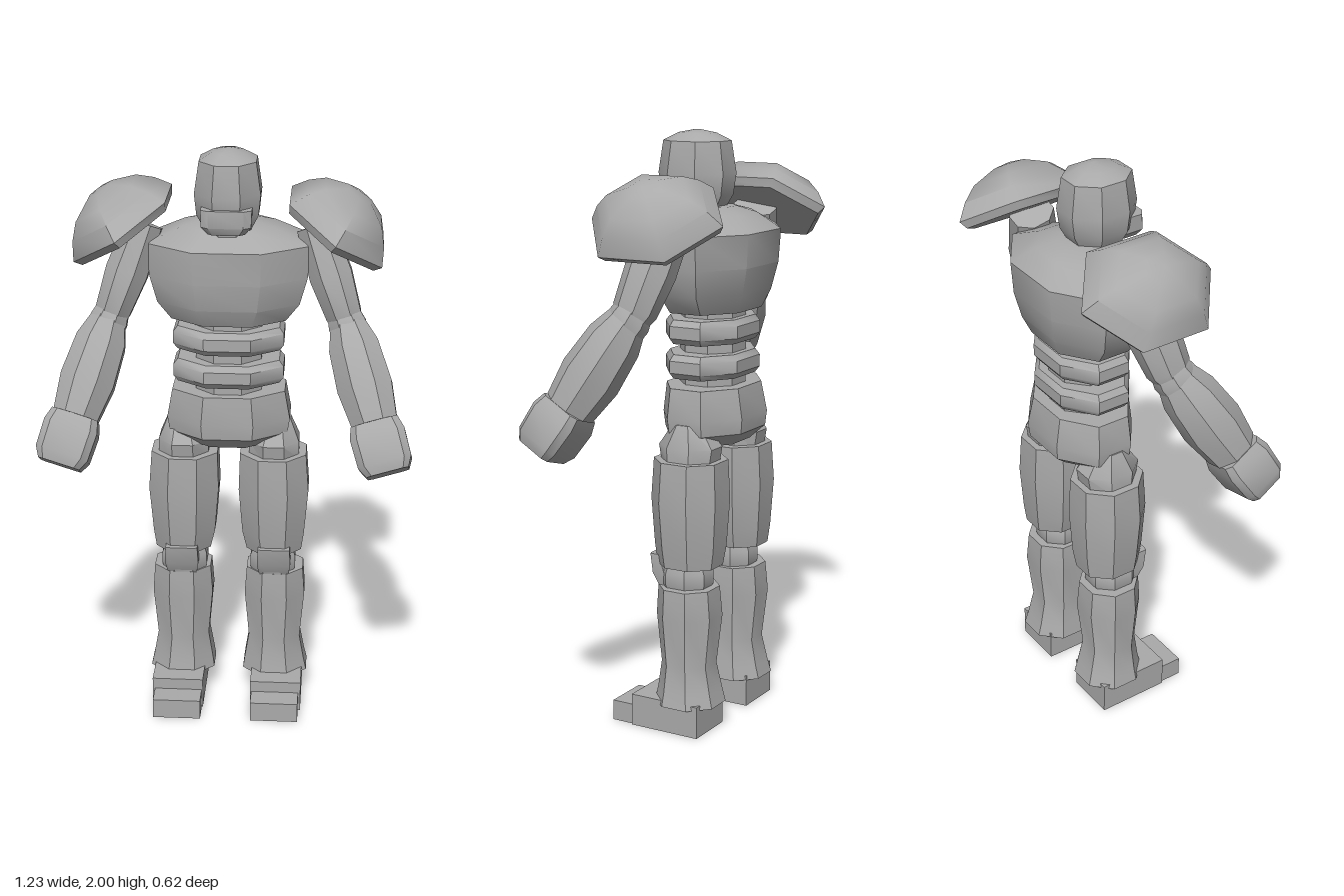
import * as THREE from 'three';
import { toCreasedNormals } from 'three/addons/utils/BufferGeometryUtils.js';

const HEX = [[1, .5], [0, 1], [-1, .5], [-1, -.5], [0, -1], [1, -.5]];
const oct = k => [[1, k], [k, 1], [-k, 1], [-1, k], [-1, -k], [-k, -1], [k, -1], [1, -k]];

// Closed solid from cross-sections [y, halfX, halfZ, centreZ, centreX], bottom to top
function loft(rings, outline = oct(0.42), crease = 0.6) {
  const n = outline.length, pos = [];
  const pt = (i, j) => {
    const [y, hx, hz, cz = 0, cx = 0] = rings[i];
    const [u, v] = outline[j % n];
    return [cx + u * hx, y, cz + v * hz];
  };
  const mid = i => [rings[i][4] || 0, rings[i][0], rings[i][3] || 0];
  const last = rings.length - 1;
  for (let j = 0; j < n; j++) {
    for (let i = 0; i < last; i++) {
      const a = pt(i, j), b = pt(i, j + 1), c = pt(i + 1, j + 1), d = pt(i + 1, j);
      pos.push(...a, ...d, ...c, ...a, ...c, ...b);
    }
    pos.push(...mid(0), ...pt(0, j), ...pt(0, j + 1));
    pos.push(...mid(last), ...pt(last, j + 1), ...pt(last, j));
  }
  const g = new THREE.BufferGeometry();
  g.setAttribute('position', new THREE.Float32BufferAttribute(pos, 3));
  return toCreasedNormals(g, crease);
}

export function createModel() {
  const model = new THREE.Group();
  model.name = 'armouredFigure';
  const grey = new THREE.MeshStandardMaterial({ color: 0xaaaaaa });
  grey.name = 'plain grey';

  const add = (name, geometry, parent = model) => {
    const mesh = new THREE.Mesh(geometry, grey);
    mesh.name = name;
    parent.add(mesh);
    return mesh;
  };
  // Stands a loft at one point and leans it toward another
  const limb = (name, from, to, rings, outline, parent) => {
    const start = new THREE.Vector3(...from);
    const dir = new THREE.Vector3(...to).sub(start);
    const len = dir.length();
    const mesh = add(name, loft(rings.map(([t, ...r]) => [t * len, ...r]), outline), parent);
    mesh.position.copy(start);
    mesh.quaternion.setFromUnitVectors(new THREE.Vector3(0, 1, 0), dir.normalize());
  };

  // Head, jaw and neck
  add('head', loft([
    [1.74, .075, .085, -.02], [1.79, .1, .112, -.02], [1.86, .107, .122, -.02],
    [1.965, .092, .107, -.02], [1.99, .05, .06, -.02], [2, .01, .01, -.02],
  ]));
  add('jawGuard', loft([
    [1.745, .06, .05, .055], [1.77, .08, .06, .057], [1.825, .082, .055, .057],
  ], oct(0.7)));
  add('neck', loft([[1.68, .07, .08, -.04], [1.78, .07, .08, -.03]]));

  // Torso, waist and pelvis
  add('chest', loft([
    [1.42, .19, .135, -.085], [1.48, .235, .16, -.085], [1.57, .26, .176, -.09],
    [1.68, .268, .181, -.092], [1.735, .15, .12, -.09], [1.755, .08, .07, -.08],
  ]));
  add('waistCore', loft([[1.1, .11, .1, -.08], [1.46, .11, .1, -.08]]));
  for (const y of [1.2, 1.315]) {
    add('waistRing', loft([
      [y, .17, .122, -.08], [y + .02, .185, .136, -.08],
      [y + .06, .185, .136, -.08], [y + .08, .17, .122, -.08],
    ]));
  }
  add('pelvis', loft([
    [.975, .14, .1, -.09], [1.02, .2, .145, -.09], [1.07, .208, .15, -.09], [1.17, .19, .136, -.085],
  ]));

  for (const s of [1, -1]) {
    const side = s > 0 ? 'left' : 'right';

    // Leg
    const leg = new THREE.Group();
    leg.name = side + 'Leg';
    leg.position.x = s * .155;
    model.add(leg);
    add('hip', loft([
      [.92, .085, .09, -.085], [.98, .085, .1, -.085], [1.055, .05, .05, -.085, s * .005],
    ]), leg);
    add('thigh', loft([
      [.575, .095, .103, -.085, s * .003], [.64, .107, .112, -.085],
      [.8, .12, .122, -.085], [.935, .113, .115, -.085, -s * .003],
    ]), leg);
    add('kneeJoint', loft([
      [.48, .07, .075, -.07], [.51, .078, .085, -.07], [.55, .078, .085, -.07], [.59, .065, .07, -.07],
    ]), leg);
    add('kneePad', loft([
      [.49, .05, .025, -.02, s * .005], [.54, .058, .028, .003, s * .005], [.605, .055, .02, .02, s * .005],
    ], oct(0.8)), leg);
    add('shin', loft([
      [.095, .113, .11, -.09, s * .01], [.14, .105, .1, -.088, s * .008], [.23, .09, .085, -.083, s * .007],
      [.4, .105, .102, -.085, s * .007], [.5, .098, .095, -.083, s * .007],
    ]), leg);
    const heel = add('foot', new THREE.BoxGeometry(.178, .11, .255), leg);
    heel.position.set(s * .018, .055, -.0425);
    const toe = add('toe', new THREE.BoxGeometry(.166, .07, .08), leg);
    toe.position.set(s * .016, .035, .125);

    // Arm
    const arm = new THREE.Group();
    arm.name = side + 'Arm';
    model.add(arm);
    const shoulder = [s * .28, 1.73, -.085], elbow = [s * .392, 1.42, -.005];
    const wrist = [s * .49, 1.14, .165], tip = [s * .537, .998, .246];
    limb('upperArm', elbow, shoulder, [
      [0, .05, .055], [.1, .058, .07], [.5, .07, .08], [1, .06, .07],
    ], oct(0.42), arm);
    limb('elbowJoint', [s * .41, 1.38, .02], [s * .378, 1.46, -.015], [
      [0, .055, .06], [.5, .062, .068], [1, .052, .058],
    ], oct(0.42), arm);
    limb('forearm', wrist, [s * .393, 1.43, 0], [
      [0, .075, .08], [.35, .09, .095], [.75, .082, .085], [1, .055, .06],
    ], oct(0.42), arm);
    limb('hand', tip, wrist, [
      [0, .07, .065], [.2, .088, .08], [.75, .09, .085], [1, .078, .075],
    ], oct(0.75), arm);

    // Shoulder pad: tilted six-sided dome with a shallow hollow below
    const pad = add(side + 'ShoulderPad', loft([
      [0, .165, .222], [.026, .181, .24], [.08, .15, .2],
      [.124, .11, .15], [.158, .045, .06], [.165, .005, .005],
    ], HEX, 0.85));
    pad.position.set(s * .335, 1.71, -.075);
    pad.rotation.z = -s * .593;
  }
  return model;
}
